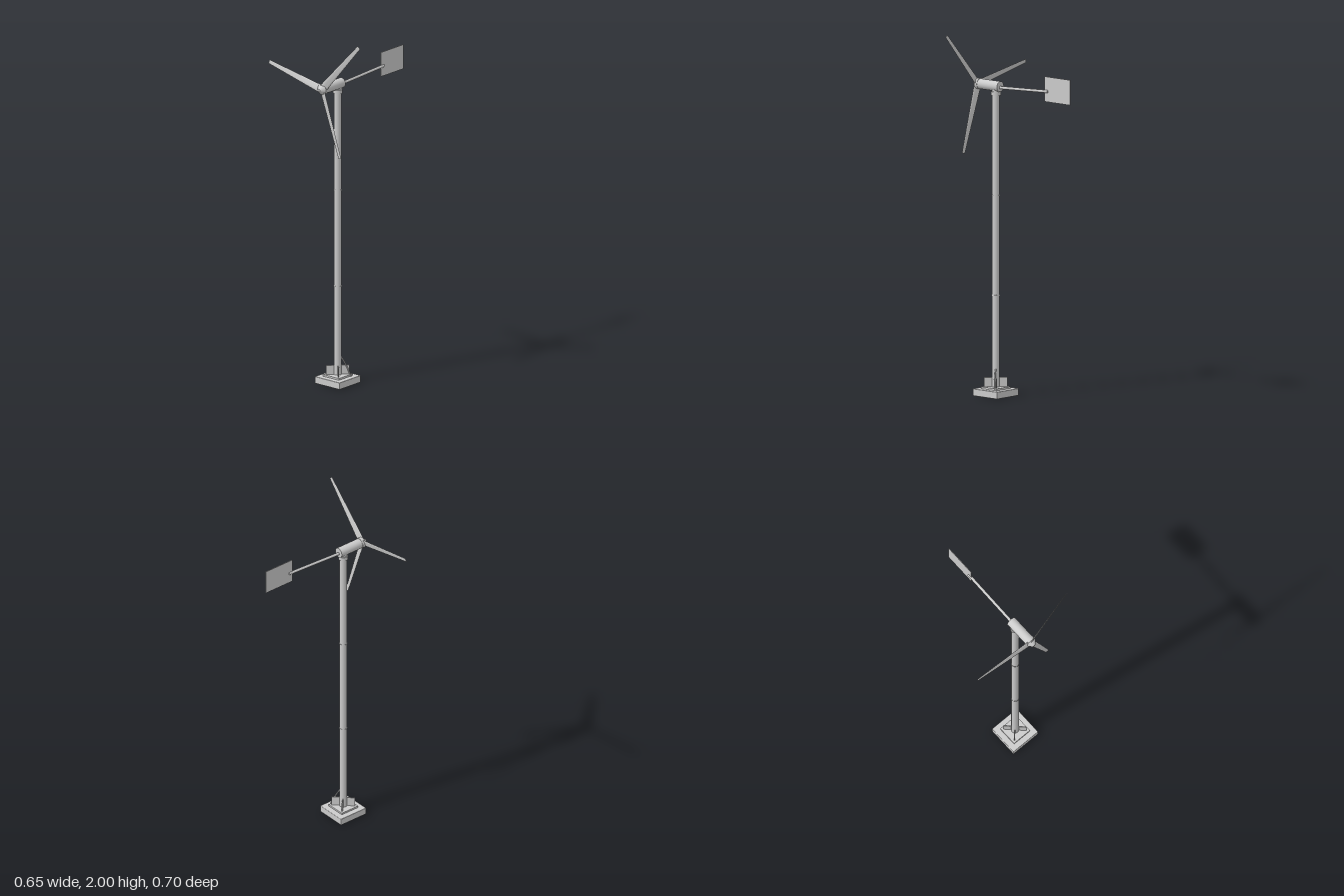
import * as THREE from 'three';
import { toCreasedNormals } from 'three/addons/utils/BufferGeometryUtils.js';
import { RoundedBoxGeometry } from 'three/addons/geometries/RoundedBoxGeometry.js';

const MX = 0.058, MZ = 0.193; // mast axis
const HUB_Y = 1.704;

// Twisted, tapering blade along +y, lofted from lens-shaped sections
function bladeGeometry() {
  const rows = 10, n = 12, pos = [], idx = [];
  for (let i = 0; i <= rows; i++) {
    const t = i / rows;
    const y = THREE.MathUtils.lerp(0.015, 0.39, t);
    const half = THREE.MathUtils.lerp(0.021, 0.0105, t);
    const sweep = THREE.MathUtils.lerp(0.0065, 0.0015, t);
    const thick = THREE.MathUtils.lerp(0.004, 0.001, t);
    for (let j = 0; j < n; j++) {
      const a = (j / n) * Math.PI * 2;
      pos.push(Math.cos(a) * half, y, sweep * (1 - Math.cos(a)) - Math.sin(a) * thick);
    }
  }
  for (let i = 0; i < rows; i++) {
    for (let j = 0; j < n; j++) {
      const a = i * n + j, b = i * n + (j + 1) % n;
      idx.push(a, a + n, b, b, a + n, b + n);
    }
  }
  // End caps
  const top = rows * n;
  for (let j = 1; j < n - 1; j++) {
    idx.push(0, j, j + 1);
    idx.push(top, top + j + 1, top + j);
  }
  const g = new THREE.BufferGeometry();
  g.setAttribute('position', new THREE.Float32BufferAttribute(pos, 3));
  g.setIndex(idx);
  return toCreasedNormals(g, 0.7);
}

export function createModel() {
  const model = new THREE.Group();
  model.name = 'windTurbine';
  const grey = new THREE.MeshStandardMaterial({ color: 0xcccccc, side: THREE.DoubleSide });
  const add = (name, geo, x, y, z, parent = model) => {
    const m = new THREE.Mesh(geo, grey);
    m.name = name;
    m.position.set(x, y, z);
    parent.add(m);
    return m;
  };
  const cyl = (r1, r2, h) => new THREE.CylinderGeometry(r1, r2, h, 32);

  // Footing
  add('foundation', new RoundedBoxGeometry(0.178, 0.04, 0.178, 2, 0.004), MX, 0.02, MZ);
  add('basePlate', new THREE.BoxGeometry(0.114, 0.01, 0.114), MX, 0.045, MZ);

  // Diagonal gussets around the mast foot
  for (let i = 0; i < 2; i++) {
    const g = add('gusset', new THREE.BoxGeometry(0.126, 0.053, 0.005), MX, 0.0755, MZ);
    g.rotation.y = Math.PI / 4 + i * Math.PI / 2;
  }

  // Power cable leaving the mast and dropping to the footing
  const cable = new THREE.CatmullRomCurve3([
    new THREE.Vector3(MX + 0.01, 0.155, MZ - 0.01),
    new THREE.Vector3(MX + 0.023, 0.132, MZ - 0.018),
    new THREE.Vector3(MX + 0.043, 0.085, MZ - 0.032),
    new THREE.Vector3(MX + 0.058, 0.038, MZ - 0.043),
  ]);
  add('cable', new THREE.TubeGeometry(cable, 16, 0.004, 8), 0, 0, 0);

  // Mast with its section joints
  add('mast', cyl(0.021, 0.021, 1.62), MX, 0.86, MZ);
  for (const y of [0.553, 1.102]) add('mastJoint', cyl(0.0222, 0.0222, 0.006), MX, y, MZ);

  // Yaw bearing
  add('yawCollar', cyl(0.027, 0.027, 0.022), MX, 1.664, MZ);
  add('yawNeck', cyl(0.022, 0.022, 0.03), MX, 1.685, MZ);

  // Nacelle
  const nacelle = add('nacelle', cyl(0.028, 0.028, 0.15), MX, HUB_Y, 0.235);
  nacelle.rotation.x = Math.PI / 2;

  // Rotor: hub, blunt nose and three blades
  const rotor = new THREE.Group();
  rotor.name = 'rotor';
  rotor.position.set(MX, HUB_Y, 0.318);
  model.add(rotor);
  const hub = add('hub', cyl(0.030, 0.030, 0.02), 0, 0, -0.002, rotor);
  hub.rotation.x = Math.PI / 2;
  const nose = add('nose', cyl(0.008, 0.030, 0.025), 0, 0, 0.0205, rotor);
  nose.rotation.x = Math.PI / 2;
  const bladeGeo = bladeGeometry();
  for (let i = 0; i < 3; i++) {
    const blade = add('blade', bladeGeo, 0, 0, 0, rotor);
    blade.rotation.z = THREE.MathUtils.degToRad(48.3 - 90 + i * 120);
  }

  // Tail boom and vane
  const boom = new THREE.LineCurve3(
    new THREE.Vector3(MX, 1.698, 0.17), new THREE.Vector3(MX, 1.715, -0.19));
  add('tailBoom', new THREE.TubeGeometry(boom, 1, 0.008, 16), 0, 0, 0);
  const cap = add('boomEnd', new THREE.CircleGeometry(0.008, 16), MX, 1.715, -0.19);
  cap.rotation.y = Math.PI;
  add('tailVane', new THREE.BoxGeometry(0.003, 0.138, 0.186), MX, 1.727, -0.26);

  return model;
}
